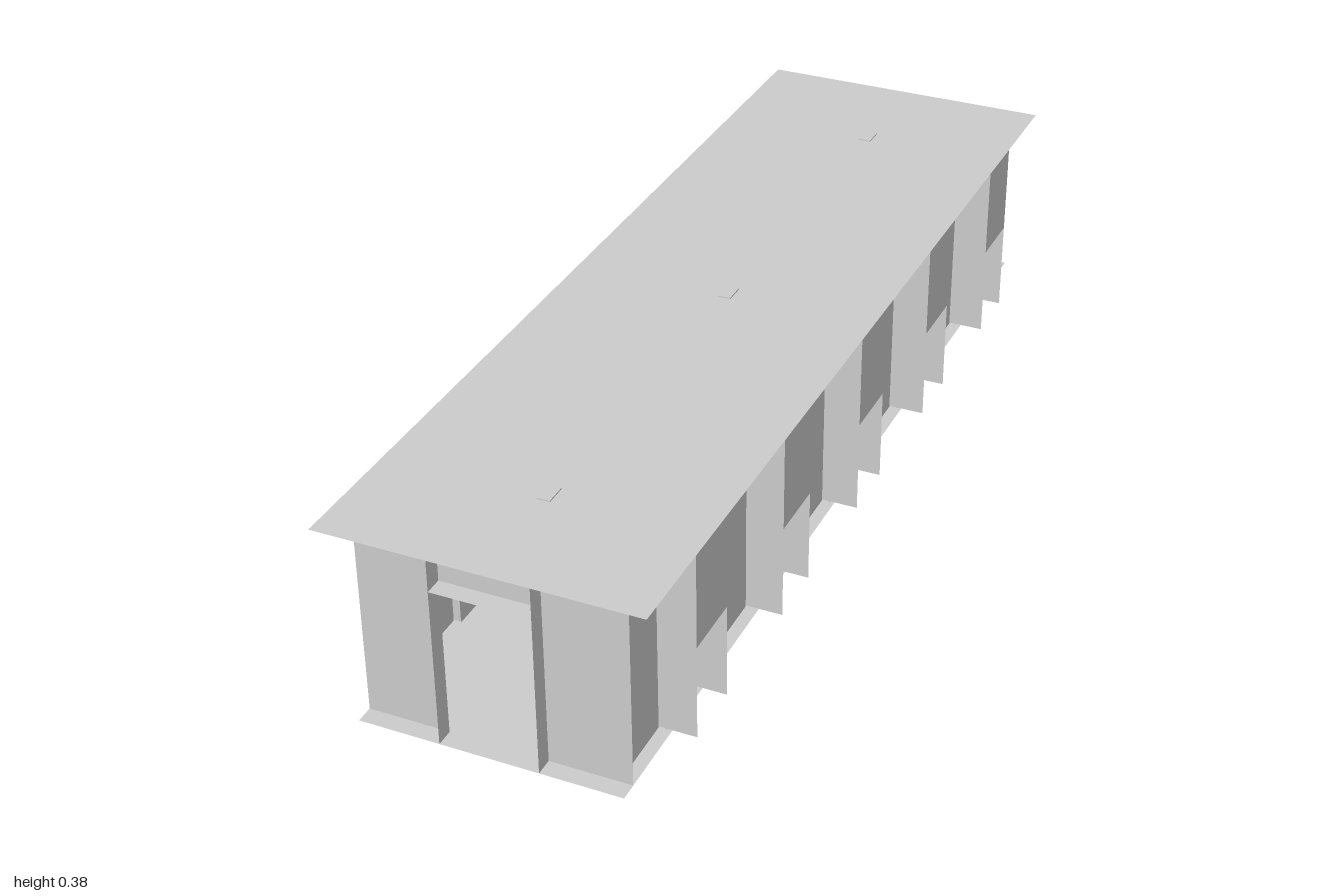
import * as THREE from 'three';

const H = 0.377;        // roof height
const WALL = 0.225;     // side wall offset from the centre line
const SILL = 0.24;      // low wall under each bay
const OUT = 0.297;      // outer edge of fins and bay panels
const END = 0.965;      // end wall position
const BAY = 0.0625;     // half width of a bay
const bays = [-0.75, -0.375, 0, 0.375, 0.75];

const grey = new THREE.MeshStandardMaterial({ color: 0xcccccc, side: THREE.DoubleSide, flatShading: true });

function add(parent, name, geometry) {
  const mesh = new THREE.Mesh(geometry, grey);
  mesh.name = name;
  parent.add(mesh);
  return mesh;
}

// thin sheet facing x, spanning z0..z1 and y0..y1
function sheetX(parent, name, x, y0, y1, z0, z1) {
  const m = add(parent, name, new THREE.PlaneGeometry(z1 - z0, y1 - y0));
  m.rotation.y = Math.PI / 2;
  m.position.set(x, (y0 + y1) / 2, (z0 + z1) / 2);
}

// thin sheet facing z, spanning x0..x1 and y0..y1
function sheetZ(parent, name, z, x0, x1, y0, y1) {
  const m = add(parent, name, new THREE.PlaneGeometry(x1 - x0, y1 - y0));
  m.position.set((x0 + x1) / 2, (y0 + y1) / 2, z);
}

// thin horizontal sheet
function sheetY(parent, name, y, x, z, width, depth) {
  const m = add(parent, name, new THREE.PlaneGeometry(width, depth));
  m.rotation.x = -Math.PI / 2;
  m.position.set(x, y, z);
}

function buildSide(s) {
  const side = new THREE.Group();
  side.name = s > 0 ? 'leftSide' : 'rightSide';

  // solid walls between the bays
  const stops = [-END, ...bays.flatMap((z) => [z - BAY, z + BAY]), END];
  for (let i = 0; i < stops.length; i += 2) sheetX(side, 'sideWall', s * WALL, 0, H, stops[i], stops[i + 1]);

  // projecting bays: low wall, sloped underside, outer panel and two fins
  for (const z of bays) {
    sheetX(side, 'lowWall', s * SILL, 0, 0.13, z - BAY, z + BAY);
    sheetX(side, 'bayPanel', s * OUT, 0.19, H, z - BAY, z + BAY);
    const rise = 0.06, run = OUT - SILL;
    const slope = add(side, 'bayUnderside', new THREE.PlaneGeometry(Math.hypot(rise, run), BAY * 2));
    slope.rotation.set(-Math.PI / 2, s * -Math.atan2(rise, run), 0);
    slope.position.set(s * (SILL + OUT) / 2, 0.16, z);
    for (const e of [-BAY, BAY]) {
      sheetZ(side, 'fin', z + e, Math.min(s * WALL, s * OUT), Math.max(s * WALL, s * OUT), 0.002, H);
    }
  }
  return side;
}

function buildEnd(s) {
  const end = new THREE.Group();
  end.name = s > 0 ? 'frontEnd' : 'backEnd';
  const door = 0.094, top = 0.315;

  // wall with a doorway
  const wall = new THREE.Shape([
    [-0.25, 0], [-door, 0], [-door, top], [door, top],
    [door, 0], [0.25, 0], [0.25, H], [-0.25, H],
  ].map(([x, y]) => new THREE.Vector2(x, y)));
  add(end, 'endWall', new THREE.ShapeGeometry(wall)).position.z = s * END;

  // door jambs and the shelf over the door
  const z0 = Math.min(s * END, s), z1 = Math.max(s * END, s);
  for (const x of [-door, door]) sheetX(end, 'doorJamb', x, 0, H, z0, z1);
  sheetY(end, 'doorHead', top, 0, (z0 + z1) / 2, door * 2, 1 - END);
  return end;
}

export function createModel() {
  const model = new THREE.Group();
  model.name = 'corridorBuilding';

  // the body sits slightly to one side under the roof
  const body = new THREE.Group();
  body.name = 'body';
  body.position.x = 0.0075;
  model.add(body);

  sheetY(body, 'floor', 0, 0, 0, 0.5, 2);
  for (const s of [1, -1]) body.add(buildSide(s), buildEnd(s));

  sheetY(model, 'roof', H, 0, 0, 0.61, 2);
  for (const z of [-0.75, 0, 0.75]) {
    add(body, 'roofHatch', new THREE.BoxGeometry(0.025, 0.005, 0.042)).position.set(0, H, z);
  }
  return model;
}
